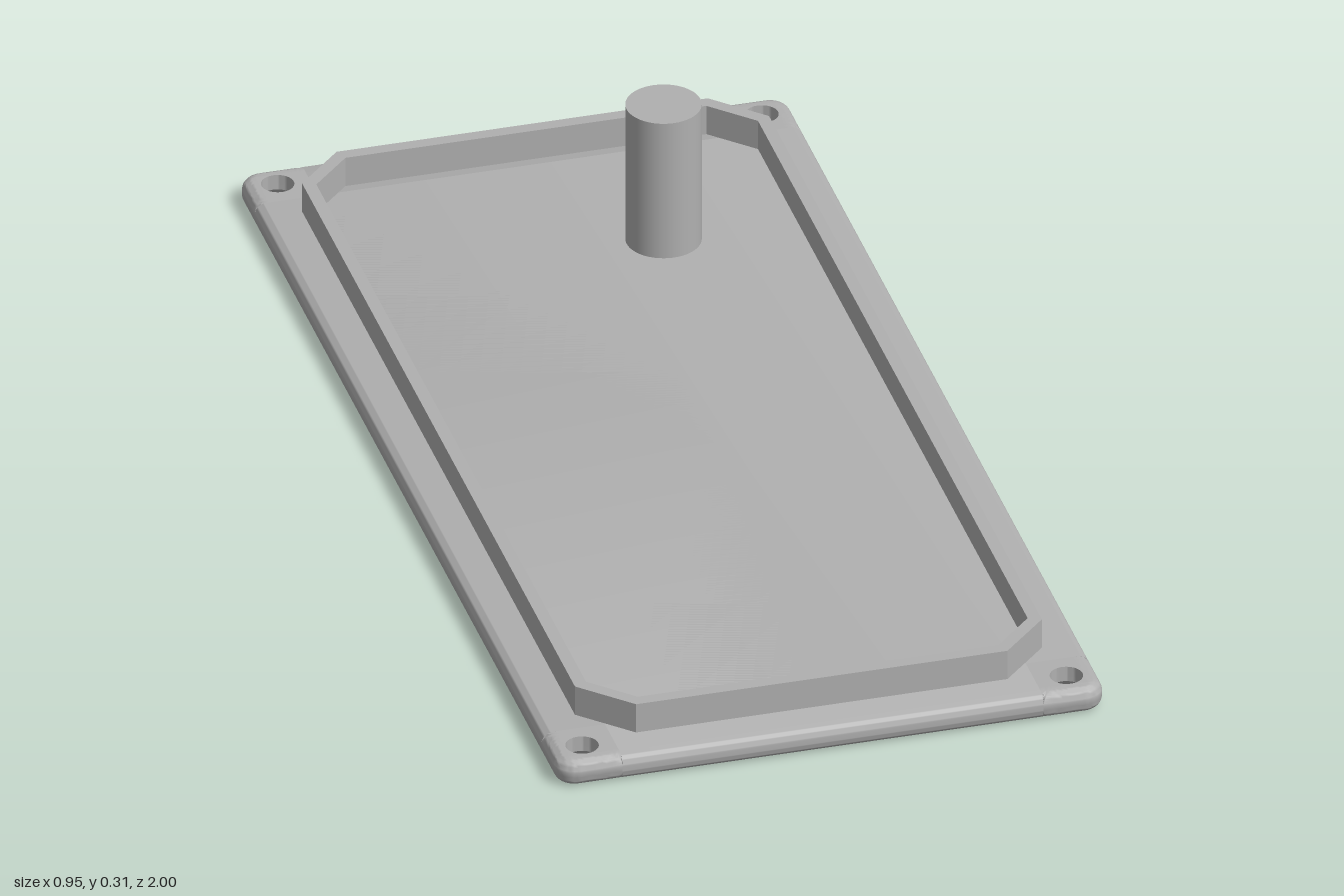
import * as THREE from 'three';
import { toCreasedNormals } from 'three/addons/utils/BufferGeometryUtils.js';

const HALF_W = 0.475, HALF_L = 1, THICK = 0.048;   // base plate
const FILLET = 0.02, CORNER = 0.035;               // edge and corner rounding
const HOLE = 0.028, SINK = 0.045, SINK_DEPTH = 0.02;
const PAD = 0.055;                                 // half size of the square around each hole

// Rounded slab profile, extruded symmetrically about the origin
function roundedBar(halfWidth, halfLength) {
  const r = FILLET, s = new THREE.Shape();
  s.absarc(halfWidth - r, r, r, -Math.PI / 2, 0);
  s.absarc(halfWidth - r, THICK - r, r, 0, Math.PI / 2);
  s.absarc(-halfWidth + r, THICK - r, r, Math.PI / 2, Math.PI);
  s.absarc(-halfWidth + r, r, r, Math.PI, Math.PI * 1.5);
  const g = new THREE.ExtrudeGeometry(s, { depth: halfLength * 2, bevelEnabled: false, curveSegments: 8 });
  return toCreasedNormals(g.translate(0, 0, -halfLength), 0.5);
}

// Distance from a point inside the pad to the plate's rounded outer edge
function edgeDistance(x, z) {
  const qx = x - PAD + CORNER, qz = z - PAD + CORNER;
  return CORNER - Math.hypot(Math.max(qx, 0), Math.max(qz, 0)) - Math.min(Math.max(qx, qz), 0);
}

// Corner of the plate, swept round a countersunk screw hole; its outer corner is at +x +z
function cornerPad() {
  const N = 64, pos = [], idx = [];
  let M = 0;
  for (let i = 0; i < N; i++) {
    const a = (i / N) * Math.PI * 2, c = Math.cos(a), s = Math.sin(a);
    let lo = HOLE, hi = 0.1;
    for (let k = 0; k < 40; k++) {
      const m = (lo + hi) / 2;
      if (edgeDistance(c * m, s * m) > 0 && Math.min(c * m, s * m) > -PAD) lo = m; else hi = m;
    }
    const radii = [];
    for (let k = 0; k <= 5; k++) radii.push(HOLE + (SINK - HOLE) * k / 5);
    for (let k = 1; k <= 8; k++) radii.push(SINK + (lo - SINK) * Math.sin(k / 8 * Math.PI / 2));
    const round = (rho) => {
      const d = Math.max(edgeDistance(c * rho, s * rho), 0);
      return d < FILLET ? FILLET - Math.sqrt(FILLET ** 2 - (FILLET - d) ** 2) : 0;
    };
    const sink = (rho) => SINK_DEPTH * Math.max(0, (SINK - rho) / (SINK - HOLE));
    const loop = [
      ...radii.map((r) => [r, THICK - round(r)]),
      ...radii.slice().reverse().map((r) => [r, Math.max(round(r), sink(r))]),
    ];
    M = loop.length;
    for (const [r, y] of loop) pos.push(c * r, y, s * r);
  }
  for (let i = 0; i < N; i++) for (let j = 0; j < M; j++) {
    const i1 = (i + 1) % N, j1 = (j + 1) % M;
    const p = i * M + j, u = i1 * M + j, v = i * M + j1, w = i1 * M + j1;
    idx.push(p, u, v, u, w, v);
  }
  const g = new THREE.BufferGeometry();
  g.setAttribute('position', new THREE.Float32BufferAttribute(pos, 3));
  g.setIndex(idx);
  return toCreasedNormals(g, 0.5);
}

// Rectangle with cut corners
function octagon(w, l, cut) {
  return [[w, l - cut], [w - cut, l], [cut - w, l], [-w, l - cut],
    [-w, cut - l], [cut - w, -l], [w - cut, -l], [w, cut - l]].map(([x, y]) => new THREE.Vector2(x, y));
}

export function createModel() {
  const model = new THREE.Group();
  model.name = 'enclosureLid';
  const grey = new THREE.MeshStandardMaterial({ color: 0xb0b0b0 });
  grey.name = 'plain grey';
  const add = (name, geometry, parent = model) => {
    const mesh = new THREE.Mesh(geometry, grey);
    mesh.name = name;
    parent.add(mesh);
    return mesh;
  };

  // Base plate: two crossing bars, completed by four corners with screw holes
  const plate = new THREE.Group();
  plate.name = 'basePlate';
  model.add(plate);
  add('plateLengthwise', roundedBar(HALF_W, HALF_L - 2 * PAD), plate);
  add('plateCrosswise', roundedBar(HALF_L, HALF_W - 2 * PAD).rotateY(Math.PI / 2), plate);
  const pad = cornerPad();
  [[1, 1], [1, -1], [-1, -1], [-1, 1]].forEach(([sx, sz], i) => {
    const corner = add('screwCorner' + (i + 1), pad, plate);
    corner.position.set(sx * (HALF_W - PAD), 0, sz * (HALF_L - PAD));
    corner.rotation.y = i * Math.PI / 2;
  });

  // Raised locating rim
  const rim = new THREE.Shape(octagon(0.405, 0.93, 0.083));
  rim.holes.push(new THREE.Path(octagon(0.383, 0.907, 0.07)));
  const rimGeometry = new THREE.ExtrudeGeometry(rim, { depth: 0.103 - THICK + 0.004, bevelEnabled: false });
  add('rim', rimGeometry.rotateX(-Math.PI / 2)).position.y = THICK - 0.004;

  // Upright post
  const postHeight = 0.31 - THICK + 0.004;
  add('post', new THREE.CylinderGeometry(0.064, 0.064, postHeight, 48))
    .position.set(0.153, 0.31 - postHeight / 2, -0.6);

  return model;
}
